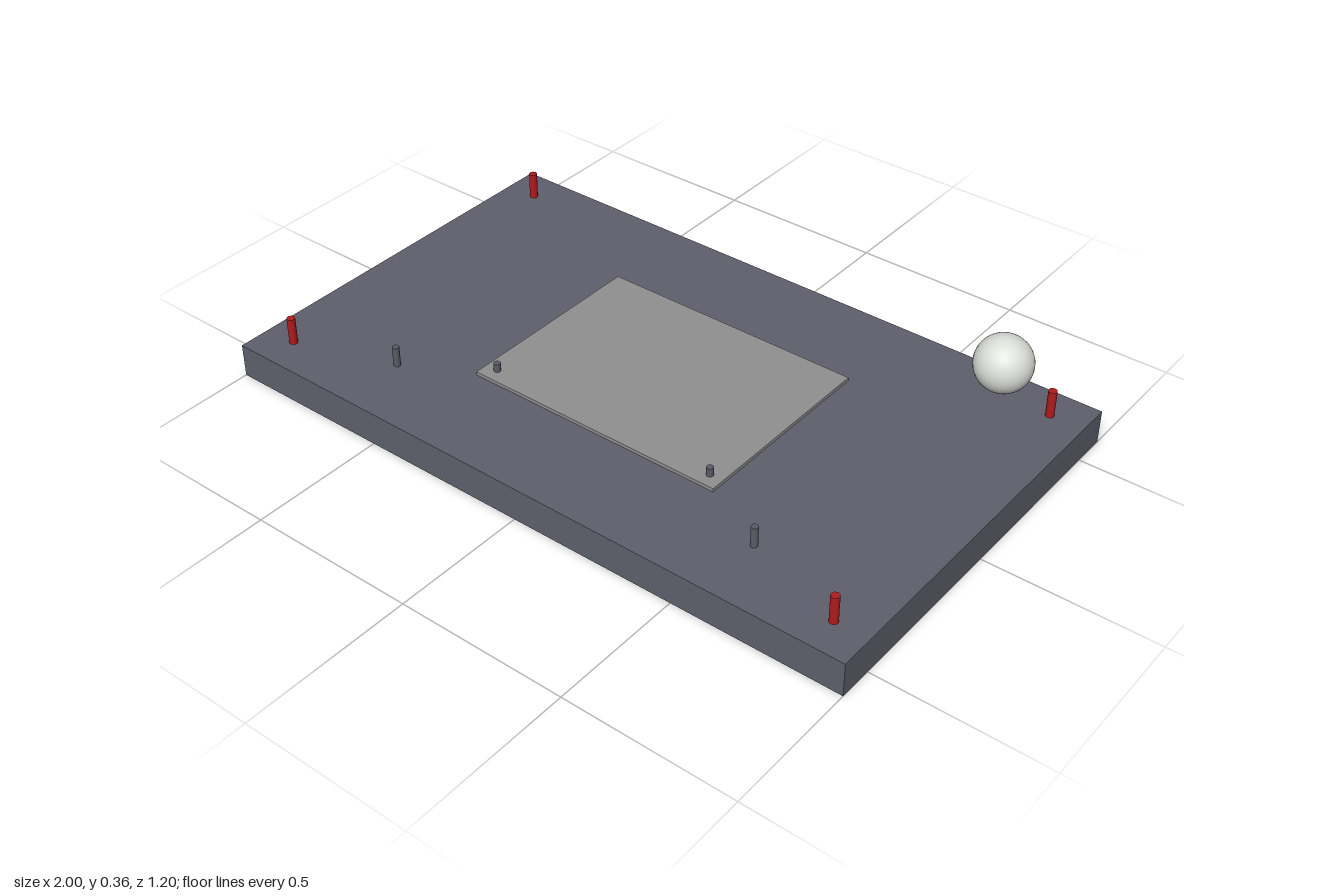
import * as THREE from 'three';

const material = (name, color) => {
  const m = new THREE.MeshStandardMaterial({ color });
  m.name = name;
  return m;
};

export function createModel() {
  const slate = material('slate', 0x5e606c);
  const grey = material('plate grey', 0x909090);
  const red = material('post red', 0xb01c1c);
  const steel = material('pin steel', 0x5a5c66);
  const white = material('ball white', 0xdcded8);

  const model = new THREE.Group();
  model.name = 'platform';
  const add = (name, geometry, mat, x, y, z) => {
    const mesh = new THREE.Mesh(geometry, mat);
    mesh.name = name;
    mesh.position.set(x, y, z);
    model.add(mesh);
  };
  // Upright cylinder standing between two heights
  const post = (name, r, y0, y1, mat, x, z) =>
    add(name, new THREE.CylinderGeometry(r, r, y1 - y0, 16), mat, x, (y0 + y1) / 2, z);

  // Base slab and raised centre plate
  add('base', new THREE.BoxGeometry(2, 0.1, 1.2), slate, 0, 0.05, 0);
  add('centrePlate', new THREE.BoxGeometry(0.8, 0.01, 0.6), grey, 0, 0.105, 0);

  // Mirrored posts and pins
  for (const [side, s] of [['right', -1], ['left', 1]]) {
    post(side + 'FrontCornerPost', 0.012, 0.1, 0.18, red, s * 0.9, 0.5);
    post(side + 'BackCornerPost', 0.012, 0.1, 0.18, red, s * 0.9, -0.5);
    post(side + 'FrontPin', 0.01, 0.1, 0.16, steel, s * 0.6, 0.4);
    post(side + 'PlatePin', 0.01, 0.11, 0.135, steel, s * 0.36, 0.26);
  }

  // Floating ball over the back left corner
  add('ball', new THREE.SphereGeometry(0.08, 32, 24), white, 0.8, 0.28, -0.4);

  return model;
}
